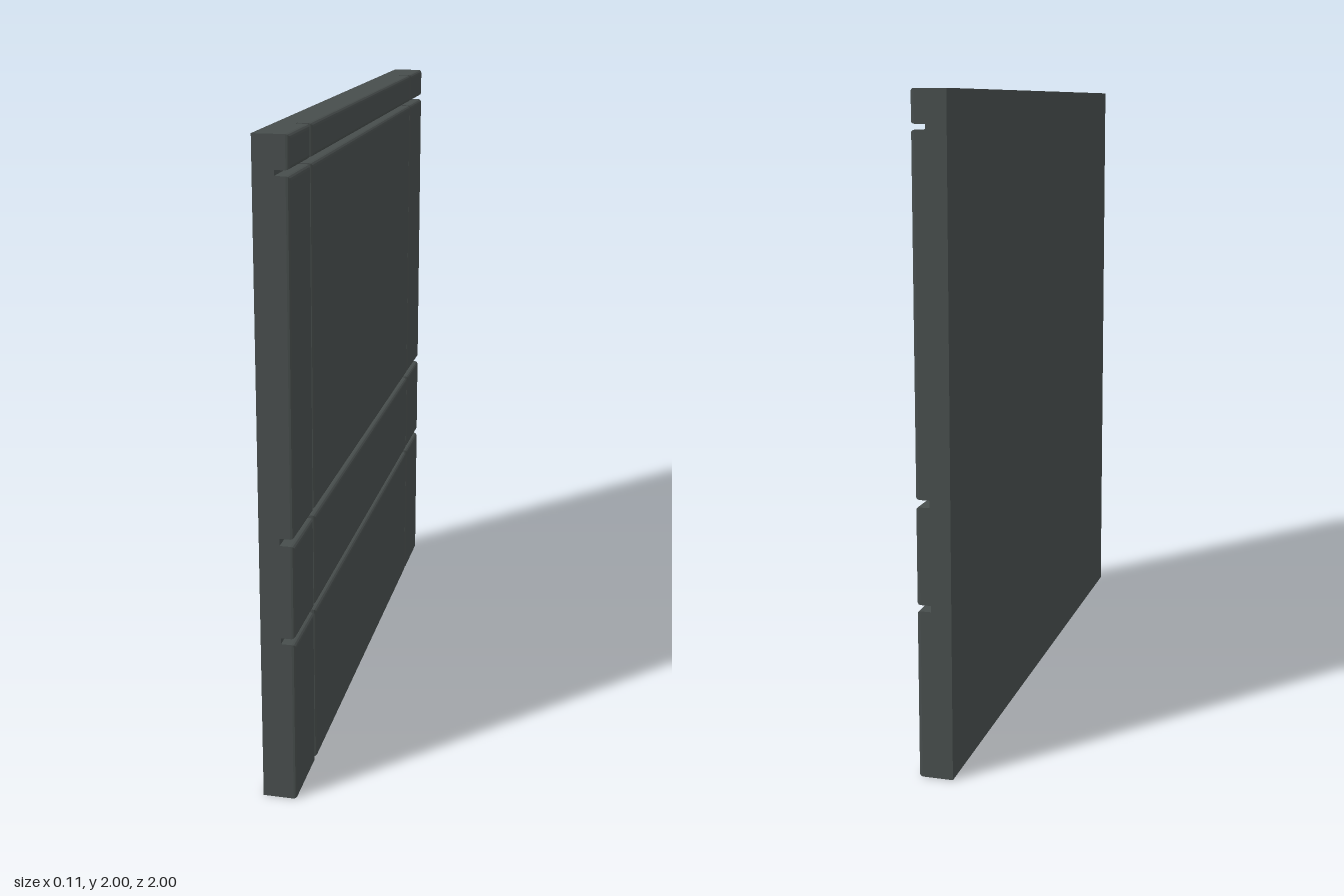
import * as THREE from 'three';

export function createModel() {
  const group = new THREE.Group();
  group.name = 'wallPanel';
  const slate = new THREE.MeshStandardMaterial({ color: 0x474d4c });
  slate.name = 'slate grey';

  const back = -0.054, grooveFloor = 0.008, face = 0.052, bevel = 0.012;

  // Flat slab behind the tiles; its front shows as the groove floor
  const slab = new THREE.Mesh(new THREE.BoxGeometry(grooveFloor - back, 2, 2), slate);
  slab.name = 'backingSlab';
  slab.position.set((back + grooveFloor) / 2, 1, 0);
  group.add(slab);

  // Tile with softened front edges, its rear sunk into the slab
  function tile(y0, y1, z0, z1) {
    const s = new THREE.Shape();
    s.moveTo(-z1, y0);
    s.lineTo(-z0, y0);
    s.lineTo(-z0, y1);
    s.lineTo(-z1, y1);
    s.closePath();
    const start = grooveFloor - 0.02;
    const geo = new THREE.ExtrudeGeometry(s, {
      depth: face - start - 2 * bevel,
      bevelEnabled: true, bevelThickness: bevel, bevelSize: bevel,
      bevelOffset: -bevel, bevelSegments: 3,
    });
    geo.rotateY(Math.PI / 2);
    geo.translate(start + bevel, 0, 0);
    return new THREE.Mesh(geo, slate);
  }

  // Rows and columns separated by narrow grooves
  const rows = [[0, 0.512], [0.531, 0.823], [0.845, 1.888], [1.904, 2]];
  const columns = [[-1, -0.772], [-0.752, 0.752], [0.772, 1]];
  rows.forEach(([y0, y1], r) => columns.forEach(([z0, z1], c) => {
    const t = tile(y0, y1, z0, z1);
    t.name = `tileRow${r + 1}Column${c + 1}`;
    group.add(t);
  }));
  return group;
}
